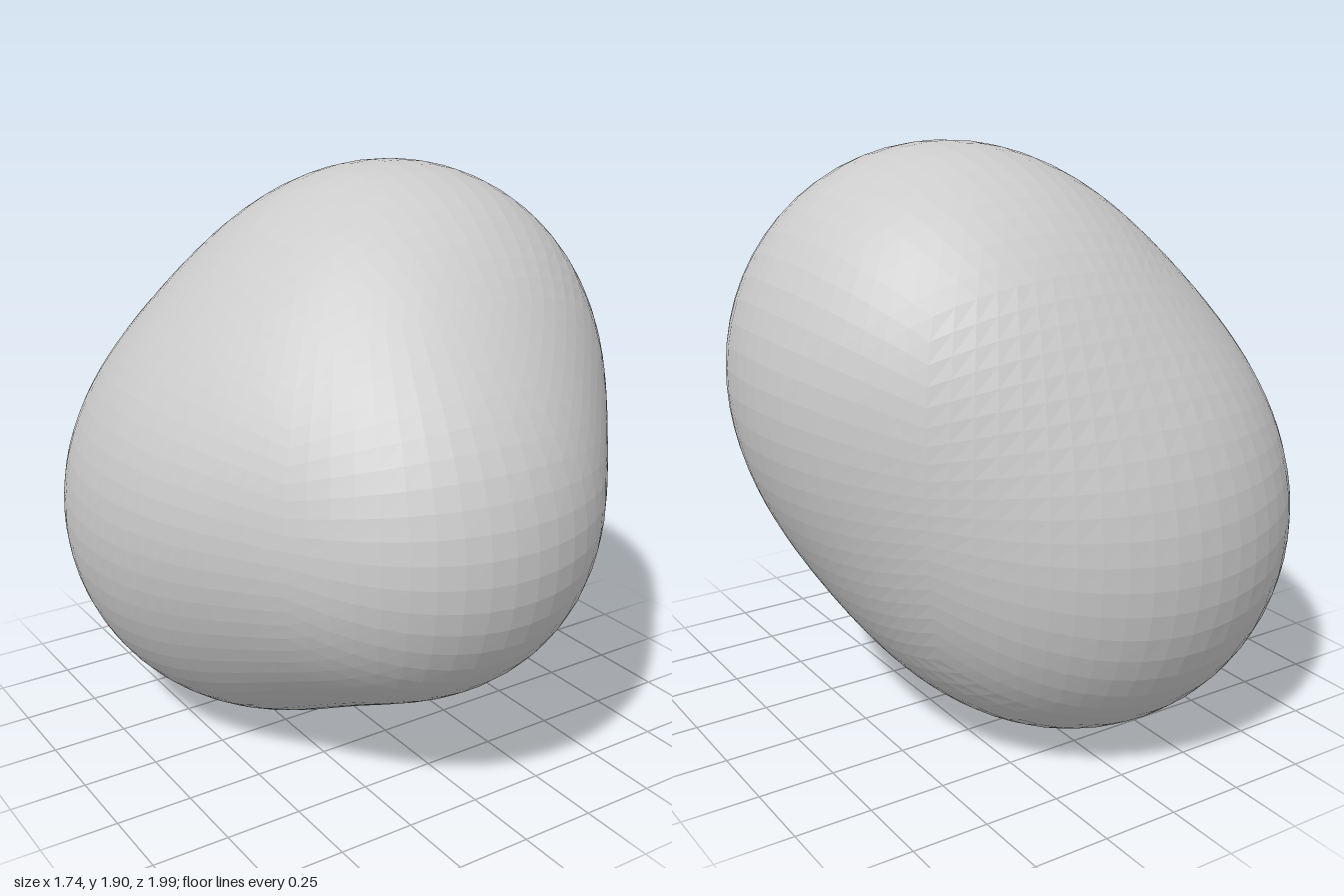
import * as THREE from 'three';

// Lobes that melt into one body: centre and strength radius
const LOBES = [
  { c: new THREE.Vector3(0.205, 1.262, -0.01), r: 0.577 },   // upper
  { c: new THREE.Vector3(-0.14, 0.7, -0.3), r: 0.62 },       // lower back
  { c: new THREE.Vector3(-0.03, 0.88, 0.5), r: 0.415 },      // front
  { c: new THREE.Vector3(-0.37, 0.95, 0.04), r: 0.235 },     // side swelling
];
const FALLOFF = 2.5; // higher = tighter creases between lobes
const CENTRE = new THREE.Vector3(0, 0.96, 0);

// Above 1 inside the body, below 1 outside
const field = (p) =>
  LOBES.reduce((sum, { c, r }) => sum + (r / (p.distanceTo(c) + 1e-6)) ** FALLOFF, 0);

// Distance from the centre to the surface along a direction
function surfaceDistance(dir) {
  const p = new THREE.Vector3();
  let near = 0.1, far = 1.8;
  for (let i = 0; i < 24; i++) {
    const mid = (near + far) / 2;
    p.copy(CENTRE).addScaledVector(dir, mid);
    if (field(p) > 1) near = mid;
    else far = mid;
  }
  return near;
}

export function createModel() {
  const group = new THREE.Group();
  group.name = 'blob';

  // A divided cube, pushed out to the blended surface
  const geometry = new THREE.BoxGeometry(2, 2, 2, 20, 20, 20);
  const pos = geometry.attributes.position;
  const even = (v) => Math.tan((v * Math.PI) / 4);
  const dir = new THREE.Vector3();
  for (let i = 0; i < pos.count; i++) {
    dir.set(even(pos.getX(i)), even(pos.getY(i)), even(pos.getZ(i))).normalize();
    const d = surfaceDistance(dir);
    dir.multiplyScalar(d).add(CENTRE);
    pos.setXYZ(i, dir.x, dir.y, dir.z);
  }
  geometry.computeVertexNormals();

  const body = new THREE.Mesh(
    geometry,
    new THREE.MeshStandardMaterial({ color: 0xcccccc, flatShading: true })
  );
  body.name = 'body';
  group.add(body);
  return group;
}
